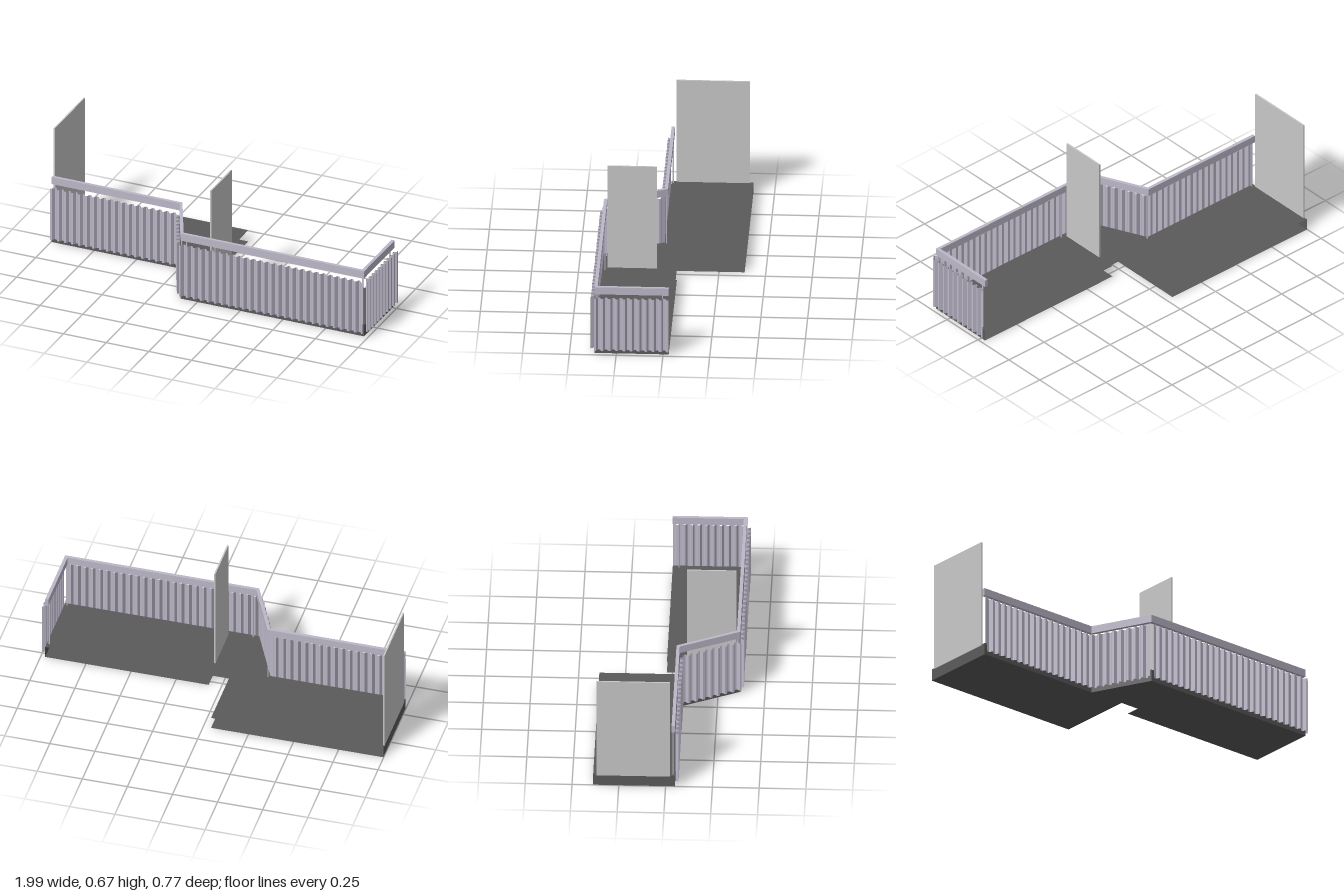
import * as THREE from 'three';

const FLOOR_Y = 0.067;
// Outer balcony edge as [x, z], running from the right end round to the left end
const EDGE = [[-0.998, 0.05], [-0.25, 0.05], [-0.1, 0.368], [0.976, 0.368], [0.976, -0.03]];
const INNER = [[0.958, -0.03], [0.958, 0.35], [-0.089, 0.35], [-0.239, 0.032], [-0.998, 0.032]];
const BACK = [[0.07, -0.03], [0.07, 0.052], [-0.043, 0.052], [-0.043, -0.387], [-0.998, -0.387]];

// Flat shape lying in the xz plane
function planShape(points) {
  return new THREE.Shape(points.map(([x, z]) => new THREE.Vector2(x, -z)));
}

// Upright ribbon following a path of [x, z] points
function ribbon(points, y0, y1) {
  const pos = [];
  for (let i = 0; i < points.length - 1; i++) {
    const [ax, az] = points[i], [bx, bz] = points[i + 1];
    pos.push(ax, y0, az, bx, y0, bz, bx, y1, bz, ax, y0, az, bx, y1, bz, ax, y1, az);
  }
  const geo = new THREE.BufferGeometry();
  geo.setAttribute('position', new THREE.Float32BufferAttribute(pos, 3));
  geo.computeVertexNormals();
  return geo;
}

// Trapezoidal corrugation between two edge points, bulging outward
function corrugation([ax, az], [bx, bz], pitch = 0.0415, depth = 0.019) {
  const length = Math.hypot(bx - ax, bz - az);
  const dx = (bx - ax) / length, dz = (bz - az) / length;
  const steps = Math.round(length / pitch) * 4 + 1;
  const points = [];
  for (let i = 0; i <= steps; i++) {
    const s = (i / steps) * length;
    const out = i % 4 < 2 ? depth : 0.001;
    points.push([ax + dx * s - dz * out, az + dz * s + dx * out]);
  }
  return points;
}

export function createModel() {
  const model = new THREE.Group();
  const slabMat = new THREE.MeshStandardMaterial({ color: 0x5a5a5a, side: THREE.DoubleSide });
  const metalMat = new THREE.MeshStandardMaterial({ color: 0xbdb8c9, side: THREE.DoubleSide });
  const screenMat = new THREE.MeshStandardMaterial({ color: 0xc8c8c8 });
  slabMat.name = 'dark concrete';
  metalMat.name = 'lavender metal';
  screenMat.name = 'pale grey screen';

  const add = (name, geo, mat, parent = model) => {
    const mesh = new THREE.Mesh(geo, mat);
    mesh.name = name;
    parent.add(mesh);
    return mesh;
  };

  // Slab: floor, underside and outer fascia, open towards the building
  const slab = new THREE.Group();
  slab.name = 'slab';
  model.add(slab);
  const plan = planShape([...EDGE, ...BACK]);
  const top = new THREE.ShapeGeometry(plan).rotateX(-Math.PI / 2);
  add('floor', top, slabMat, slab).position.y = FLOOR_Y;
  const under = new THREE.ShapeGeometry(plan).rotateX(-Math.PI / 2);
  // Reverse the winding so the underside faces down
  under.index.array.reverse();
  under.computeVertexNormals();
  add('underside', under, slabMat, slab);
  add('fascia', ribbon([BACK[4], ...EDGE], 0, FLOOR_Y), slabMat, slab);

  // Corrugated balustrade, one sheet per straight run
  const balustrade = new THREE.Group();
  balustrade.name = 'balustrade';
  model.add(balustrade);
  for (let i = 0; i < EDGE.length - 1; i++) {
    const sheet = corrugation(EDGE[i], EDGE[i + 1]);
    add('corrugatedSheet', ribbon(sheet, 0.022, 0.33), metalMat, balustrade);
  }

  // Handrail with mitred corners
  const rail = new THREE.ExtrudeGeometry(planShape([...EDGE, ...INNER]), {
    depth: 0.042, bevelEnabled: false,
  }).rotateX(-Math.PI / 2);
  add('handrail', rail, metalMat).position.y = 0.348;

  // Slim posts carrying the handrail
  const posts = [[-0.98, 0.04], [-0.24, 0.04], [-0.07, 0.353], [0.097, 0.353], [0.962, 0.353], [0.962, 0.003]];
  for (const [x, z] of posts) {
    const post = add('railPost', new THREE.BoxGeometry(0.006, 0.35 - FLOOR_Y, 0.006), metalMat);
    post.position.set(x, (0.35 + FLOOR_Y) / 2, z);
  }

  // Tall privacy screens
  for (const [x, z0, z1] of [[-0.995, -0.369, 0.023], [0.066, 0.077, 0.341]]) {
    const screen = add('privacyScreen', new THREE.BoxGeometry(0.008, 0.608, z1 - z0), screenMat);
    screen.position.set(x, 0.366, (z0 + z1) / 2);
  }
  return model;
}
